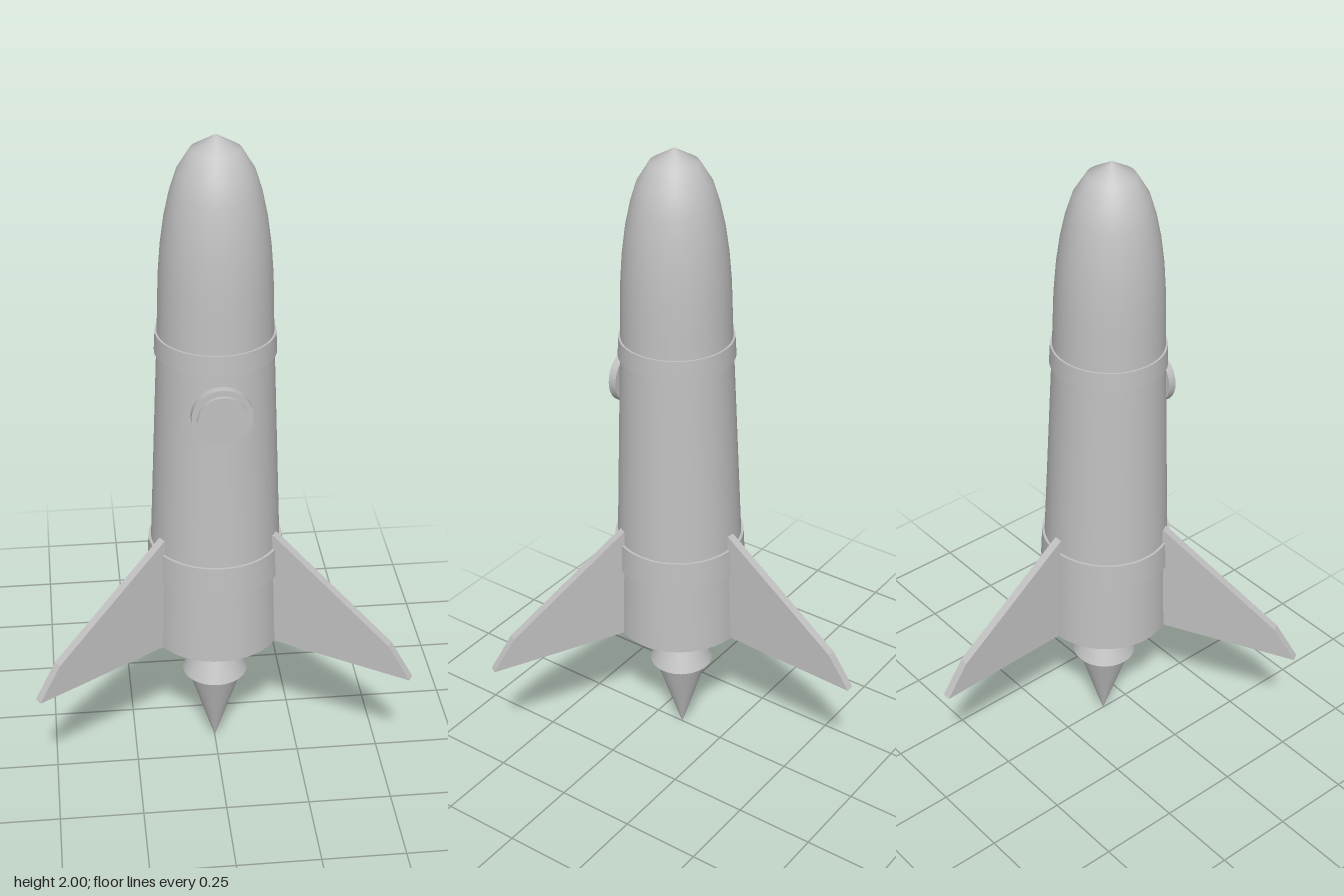
import * as THREE from 'three';

export function createModel() {
  const model = new THREE.Group();
  model.name = 'rocket';
  const grey = new THREE.MeshStandardMaterial({ color: 0xc0c0c0 });
  grey.name = 'grey';

  const add = (name, geometry, parent = model) => {
    const mesh = new THREE.Mesh(geometry, grey);
    mesh.name = name;
    parent.add(mesh);
    return mesh;
  };
  const lathe = (points) =>
    new THREE.LatheGeometry(points.map(([r, y]) => new THREE.Vector2(r, y)), 48);

  // Everything turns about one upright axis, set forward of the origin
  const rocket = new THREE.Group();
  rocket.name = 'rocketAxis';
  rocket.position.z = 0.152;
  model.add(rocket);

  // Tapered hull and rounded nose
  add('hull', new THREE.CylinderGeometry(0.165, 0.203, 0.97, 48).translate(0, 0.921, 0), rocket);
  add('nose', lathe([
    [0.165, 1.4], [0.162, 1.5], [0.159, 1.6], [0.152, 1.69], [0.141, 1.77],
    [0.126, 1.84], [0.107, 1.9], [0.07, 1.96], [0, 2],
  ]), rocket);

  // Raised bands around the hull
  const band = (name, rTop, rBottom, top, bottom) =>
    add(name, new THREE.CylinderGeometry(rTop, rBottom, top - bottom, 48)
      .translate(0, (top + bottom) / 2, 0), rocket);
  band('upperBand', 0.17, 0.173, 1.43, 1.37);
  band('lowerBand', 0.198, 0.202, 0.76, 0.67);

  // Engine nozzle with a flared bell, and the pointed flame below
  add('nozzle', new THREE.CylinderGeometry(0.062, 0.053, 0.076, 32).translate(0, 0.404, 0), rocket);
  add('nozzleBell', new THREE.CylinderGeometry(0.053, 0.099, 0.096, 32).translate(0, 0.318, 0), rocket);
  add('flame', new THREE.ConeGeometry(0.085, 0.27, 32).rotateX(Math.PI).translate(0, 0.135, 0), rocket);

  // Three swept fins, one pointing straight back
  const outline = new THREE.Shape([
    [0.17, 0.436], [0.63, 0.418], [0.56, 0.52], [0.193, 0.805], [0.17, 0.805],
  ].map(([x, y]) => new THREE.Vector2(x, y)));
  const fin = new THREE.ExtrudeGeometry(outline, { depth: 0.026, bevelEnabled: false })
    .translate(0, 0, -0.013);
  ['backFin', 'rightFin', 'leftFin'].forEach((name, i) => {
    add(name, fin, rocket).rotation.y = Math.PI / 2 + i * Math.PI * 2 / 3;
  });

  // Round porthole on the front: wide frame and a slightly raised pane
  const disc = (name, radius, back, front) =>
    add(name, new THREE.CylinderGeometry(radius, radius, front - back, 40)
      .rotateX(Math.PI / 2).translate(0, 1.25, (front + back) / 2), rocket);
  disc('windowFrame', 0.086, 0.165, 0.19);
  disc('windowPane', 0.069, 0.165, 0.201);

  return model;
}
